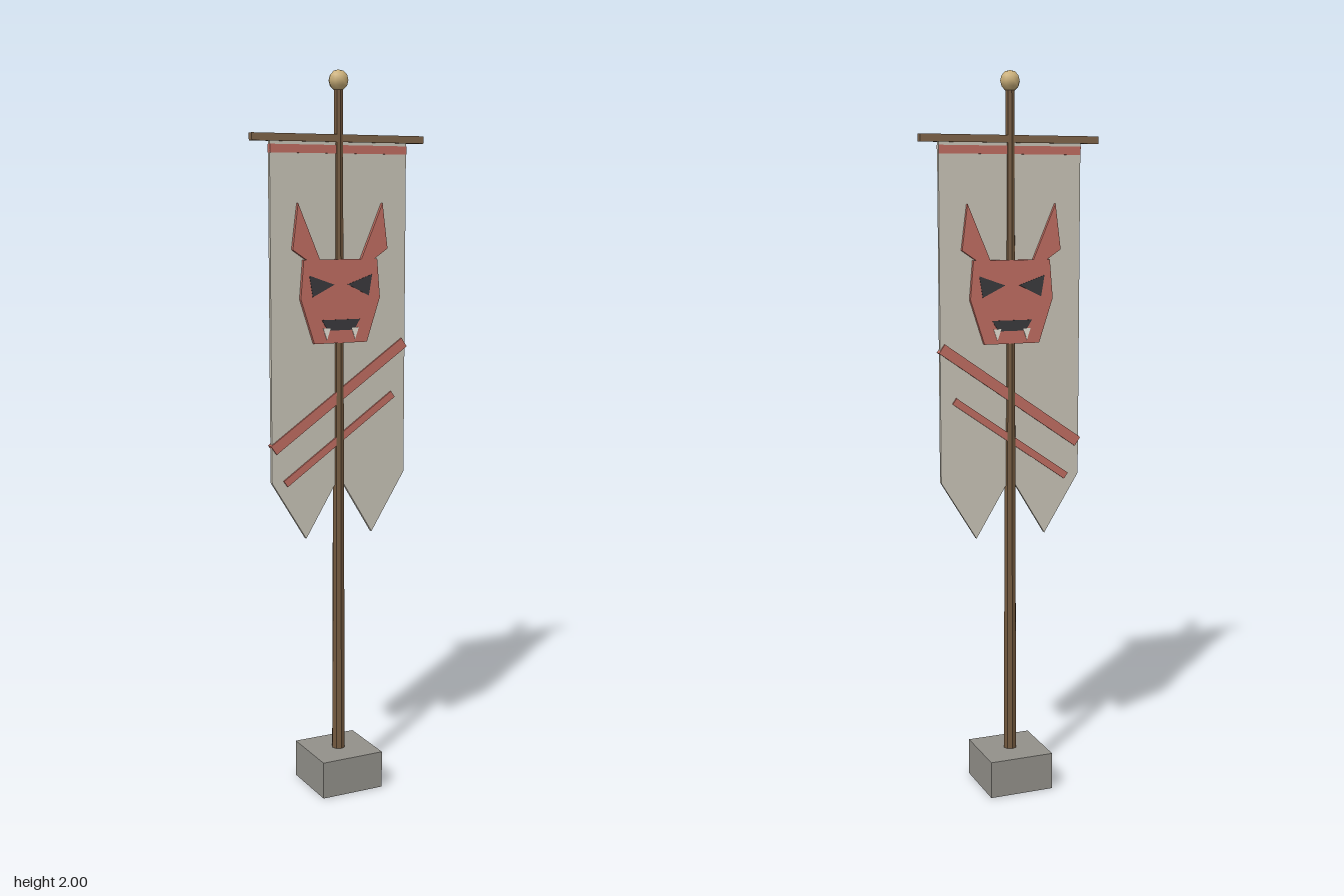
import * as THREE from 'three';

const paint = (name, color) => Object.assign(new THREE.MeshStandardMaterial({ color }), { name });

export function createModel() {
  const stone = paint('stone', 0x92908a);
  const wood = paint('pole wood', 0x73593f);
  const barWood = paint('crossbar wood', 0x80654a);
  const brass = paint('brass', 0xcbb07a);
  const cloth = paint('cloth', 0xc9c4b7);
  const red = paint('red cloth', 0xc16e62);
  const dark = paint('dark', 0x3b3a3d);
  const ivory = paint('ivory', 0xece6da);

  const banner = new THREE.Group();
  banner.name = 'banner';

  function add(name, geometry, material, x = 0, y = 0, z = 0) {
    const mesh = new THREE.Mesh(geometry, material);
    mesh.name = name;
    mesh.position.set(x, y, z);
    banner.add(mesh);
    return mesh;
  }

  // Flat outline given thickness, centred on z
  function plate(name, points, depth, material, z = 0) {
    const shape = new THREE.Shape(points.map(([x, y]) => new THREE.Vector2(x, y)));
    const geometry = new THREE.ExtrudeGeometry(shape, { depth, bevelEnabled: false });
    return add(name, geometry, material, 0, 0, z - depth / 2);
  }
  const mirror = (points) => points.map(([x, y]) => [-x, y]);

  // Base, tapered pole, crossbar and finial
  add('base', new THREE.BoxGeometry(0.185, 0.105, 0.185), stone, 0, 0.0525, 0);
  const poleShape = new THREE.CylinderGeometry(0.0125, 0.019, 1.86, 8).toNonIndexed();
  poleShape.computeVertexNormals();
  add('pole', poleShape, wood, 0, 1.03, 0);
  add('crossbar', new THREE.BoxGeometry(0.512, 0.02, 0.02), barWood, 0, 1.821, 0);
  add('finial', new THREE.SphereGeometry(0.028, 8, 6), brass, 0, 1.972, 0);

  // Swallow-tailed cloth
  plate('cloth', [
    [-0.204, 1.811], [-0.204, 0.897], [-0.102, 0.732], [0, 0.9],
    [0.102, 0.732], [0.204, 0.897], [0.204, 1.811],
  ], 0.011, cloth);

  // Red hem and slanted stripes, showing on both sides
  add('topBand', new THREE.BoxGeometry(0.408, 0.022, 0.016), red, 0, 1.792, 0);
  for (const [name, y, length, width] of [
    ['wideStripe', 1.127, 0.487, 0.029],
    ['narrowStripe', 1.007, 0.402, 0.02],
  ]) {
    add(name, new THREE.BoxGeometry(length, width, 0.022), red, 0, y, 0).rotation.z = 0.606;
  }

  // Horned beast emblem
  plate('face', [
    [-0.111, 1.5], [-0.12, 1.395], [-0.08, 1.273],
    [0.08, 1.273], [0.12, 1.395], [0.111, 1.5],
  ], 0.031, red);
  const ear = [[0.127, 1.65], [0.062, 1.498], [0.1, 1.498], [0.143, 1.527]];
  plate('leftEar', ear, 0.031, red);
  plate('rightEar', mirror(ear), 0.031, red);

  // Eyes, mouth and fangs on the front and the back
  const eye = [[0.095, 1.458], [0.02, 1.432], [0.085, 1.4]];
  const fang = [[0.054, 1.314], [0.032, 1.314], [0.043, 1.282]];
  for (const side of [1, -1]) {
    const place = side > 0 ? 'front' : 'back';
    for (const [flip, hand] of [[(p) => p, 'Left'], [mirror, 'Right']]) {
      plate(place + hand + 'Eye', flip(eye), 0.004, dark, side * 0.0148);
      plate(place + hand + 'Fang', flip(fang), 0.004, ivory, side * 0.0153);
    }
    plate(place + 'Mouth', [
      [-0.058, 1.337], [-0.04, 1.308], [0.04, 1.308], [0.058, 1.337],
    ], 0.004, dark, side * 0.0148);
  }

  return banner;
}
